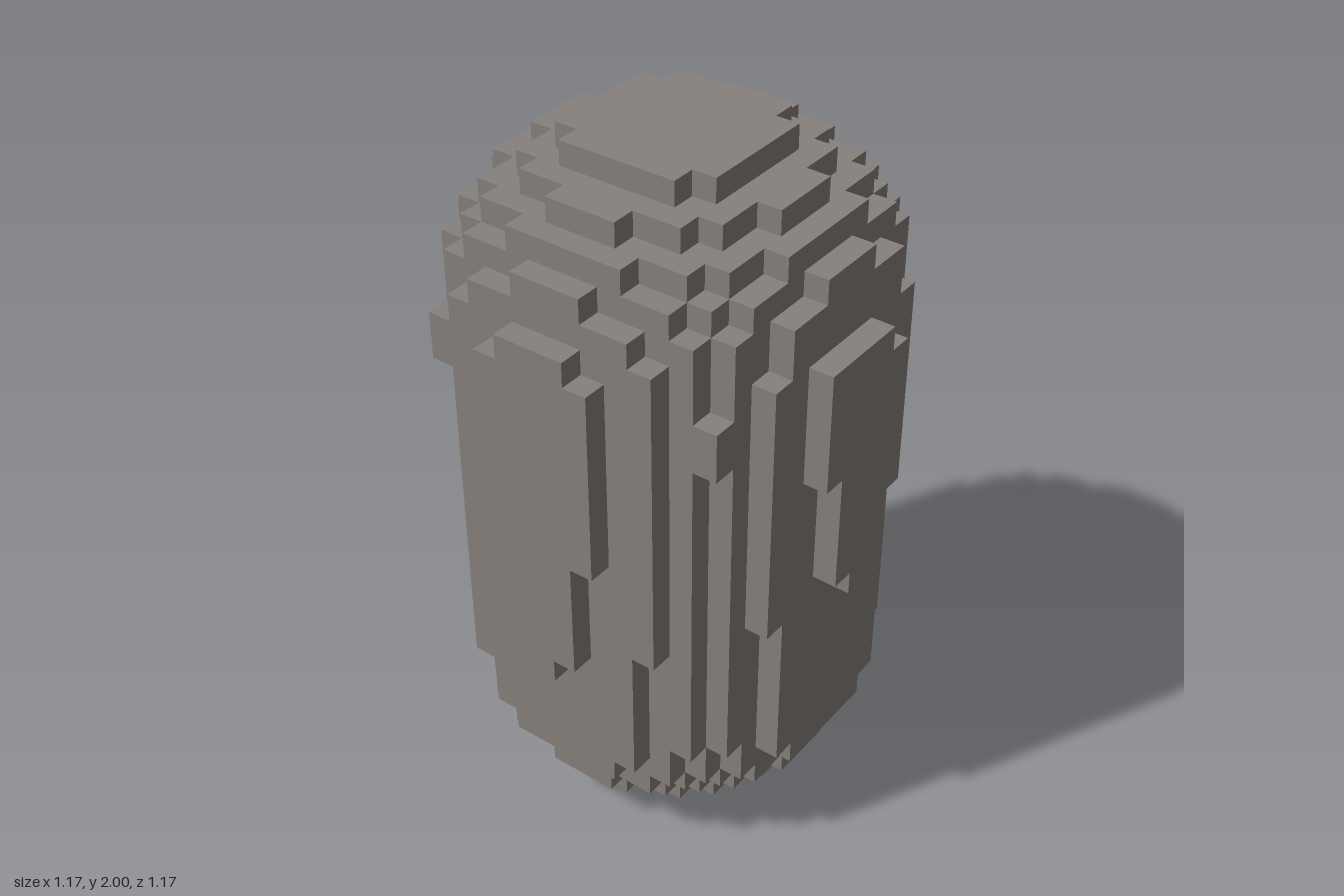
import * as THREE from 'three';

const U = 2 / 29; // one block

// Rounded core: [first layer, last layer, half width of each row going outwards]
const CORE = [
  [0, 0, [3, 3, 3, 2]],
  [1, 1, [5, 5, 4, 4, 3, 1]],
  [2, 2, [6, 6, 5, 5, 4, 3, 1]],
  [3, 3, [6, 6, 6, 6, 5, 4, 3]],
  [4, 5, [6, 6, 6, 6, 6, 5, 4]],
  [6, 24, [6, 6, 6, 6, 6, 6, 5]],
  [25, 25, [6, 6, 6, 6, 6, 5, 4]],
  [26, 26, [6, 6, 6, 5, 5, 4, 2]],
  [27, 27, [5, 5, 4, 4, 3, 1]],
  [28, 28, [3, 3, 3, 2]],
];

// Side plates: [first layer, last layer, leftmost block, rightmost block]
const LONG_PANEL = [[4, 4, -2, 2], [5, 8, -3, 3], [9, 10, -4, 3], [11, 23, -4, 4], [24, 24, -3, 3], [25, 25, -1, 1]];
const LONG_BUMP = [[9, 9, 0, 0], [10, 13, -1, 1], [14, 14, -2, 1], [15, 22, -2, 2], [23, 23, -1, 1]];
const SHORT_PANEL = [[4, 4, -2, 2], [5, 11, -3, 3], [12, 13, -4, 3], [14, 22, -4, 4], [23, 24, -3, 3], [25, 25, -1, 1]];
const SHORT_BUMP = [[12, 12, 0, 0], [13, 13, -1, 0], [14, 17, -1, 1], [18, 21, -2, 2], [22, 22, -2, 1]];

// Stepped outline, symmetric in both directions
function outline(rows) {
  const n = rows.length - 1;
  const right = [];
  for (let z = -n; z <= n; z++) {
    const w = rows[Math.abs(z)] + 0.5;
    const last = right[right.length - 1];
    if (last && last.x === w) last.y = z + 0.5;
    else right.push(new THREE.Vector2(w, z - 0.5));
    if (!last || last.x !== w) right.push(new THREE.Vector2(w, z + 0.5));
  }
  const left = right.map((p) => new THREE.Vector2(-p.x, p.y)).reverse();
  return new THREE.Shape([...right, ...left].map((p) => p.multiplyScalar(U)));
}

export function createModel() {
  const model = new THREE.Group();
  const stone = new THREE.MeshStandardMaterial({ color: 0x88817d });
  stone.name = 'warm grey stone';

  const add = (parent, name, geometry) => {
    const mesh = new THREE.Mesh(geometry, stone);
    mesh.name = name;
    parent.add(mesh);
    return mesh;
  };

  // Stacked slabs of the core
  const core = new THREE.Group();
  core.name = 'core';
  model.add(core);
  for (const [from, to, rows] of CORE) {
    const slab = new THREE.ExtrudeGeometry(outline(rows), { depth: (to - from + 1) * U, bevelEnabled: false });
    slab.rotateX(-Math.PI / 2);
    add(core, 'coreSlab', slab).position.y = from * U;
  }

  // One-block-thick plates on a side, in the layer of blocks numbered depth
  const plates = (side, name, runs, depth, mirror) => {
    for (const [from, to, lo, hi] of runs) {
      const box = new THREE.BoxGeometry((hi - lo + 1) * U, (to - from + 1) * U, U);
      add(side, name, box).position.set((mirror * (lo + hi) * U) / 2, ((from + to + 1) * U) / 2, depth * U);
    }
  };
  const sides = [
    ['frontSide', 0, LONG_PANEL, LONG_BUMP, 1],
    ['leftSide', Math.PI / 2, SHORT_PANEL, SHORT_BUMP, 1],
    ['backSide', Math.PI, SHORT_PANEL, SHORT_BUMP, 1],
    ['rightSide', -Math.PI / 2, LONG_PANEL, LONG_BUMP, -1],
  ];
  for (const [name, turn, panel, bump, mirror] of sides) {
    const side = new THREE.Group();
    side.name = name;
    side.rotation.y = turn;
    plates(side, 'panel', panel, 7, mirror);
    plates(side, 'bump', bump, 8, mirror);
    model.add(side);
  }

  // Small blocks filling the front corners
  for (const s of [-1, 1]) {
    add(model, 'cornerBlock', new THREE.BoxGeometry(U, 2 * U, U)).position.set(s * 6 * U, 21 * U, 6 * U);
  }
  return model;
}
